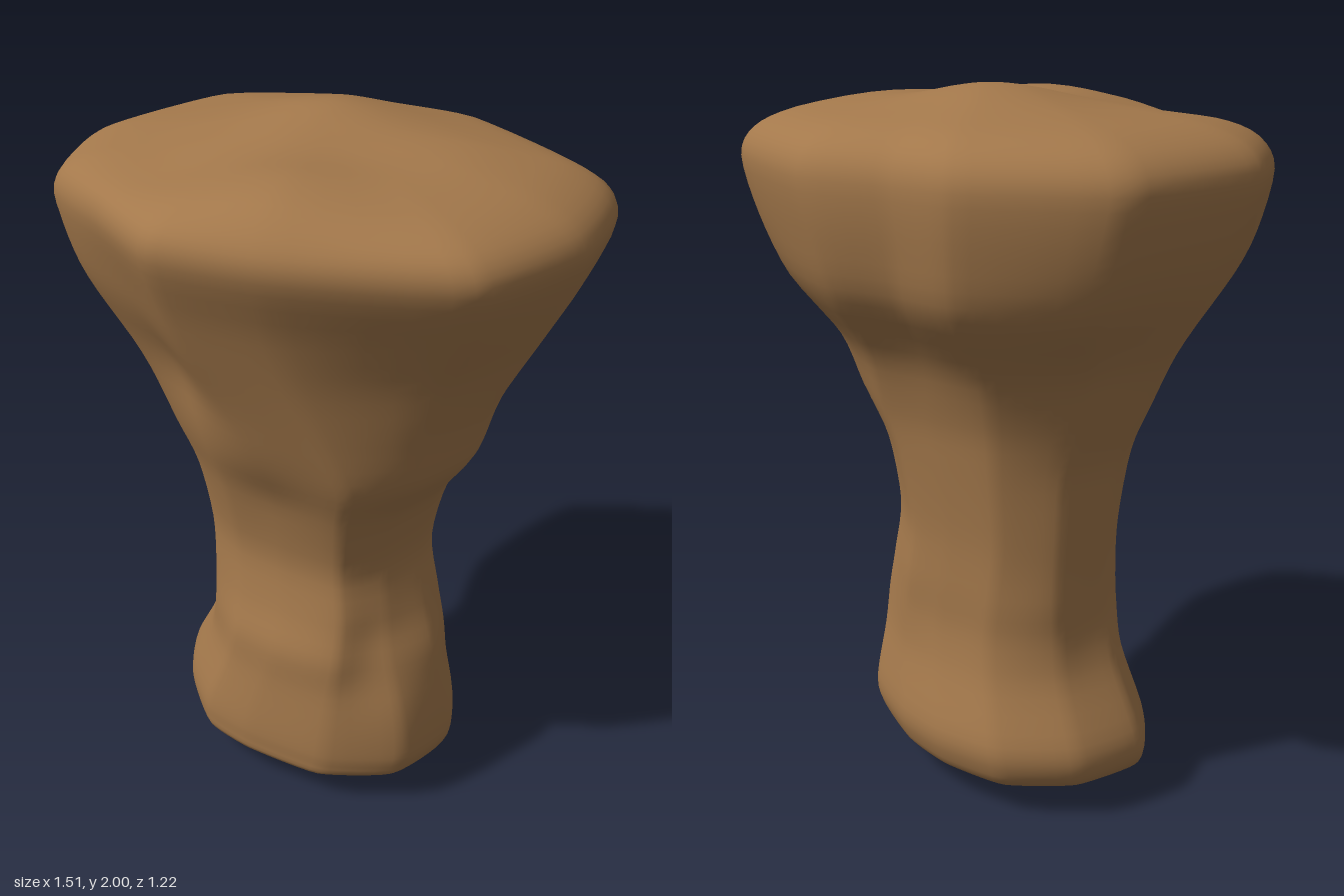
import * as THREE from 'three';
import { mergeVertices } from 'three/addons/utils/BufferGeometryUtils.js';

// Unit outlines, twelve corners from +x round through +z: foot, neck and rim
const foot = [[1, -0.05], [0.9, 0.54], [0.48, 0.93], [-0.08, 1], [-0.46, 0.92], [-0.8, 0.55],
  [-1, 0.1], [-0.86, -0.52], [-0.47, -0.95], [-0.02, -1], [0.36, -0.88], [0.8, -0.54]];
const neck = [[1, 0], [0.9, 0.53], [0.66, 0.95], [0.1, 1], [-0.4, 0.96], [-0.82, 0.7],
  [-1, 0.15], [-0.9, -0.5], [-0.5, -0.92], [0, -1], [0.42, -0.95], [0.94, -0.42]];
const rim = [[1, 0], [0.87, 0.58], [0.29, 0.91], [-0.13, 1], [-0.48, 0.79], [-0.82, 0.58],
  [-1, 0.12], [-0.89, -0.6], [-0.42, -0.95], [-0.13, -0.96], [0.24, -1], [0.88, -0.6]];

// Level rings: height, min x, max x, min z, max z
const rings = [
  [0.0, -0.18, -0.18, -0.04, -0.04],
  [0.04, -0.31, 0.04, -0.17, 0.12],
  [0.085, -0.455, 0.35, -0.31, 0.28],
  [0.14, -0.497, 0.415, -0.348, 0.3],
  [0.22, -0.485, 0.425, -0.355, 0.3],
  [0.38, -0.395, 0.405, -0.305, 0.285],
  [0.5, -0.355, 0.385, -0.285, 0.28],
  [0.62, -0.35, 0.34, -0.285, 0.245],
  [0.78, -0.36, 0.305, -0.285, 0.225],
  [0.98, -0.38, 0.355, -0.305, 0.275],
  [1.12, -0.435, 0.45, -0.33, 0.33],
  [1.28, -0.51, 0.5, -0.4, 0.395],
  [1.46, -0.63, 0.59, -0.55, 0.475],
  [1.62, -0.71, 0.68, -0.59, 0.54],
  [1.78, -0.757, 0.752, -0.605, 0.605],
  [1.86, -0.71, 0.715, -0.57, 0.59],
  [1.91, -0.59, 0.6, -0.48, 0.5],
  [1.94, -0.38, 0.4, -0.31, 0.33],
  [1.95, -0.18, 0.18, -0.17, 0.14],
  [1.95, -0.04, -0.04, -0.03, -0.03],
];

// Soft lumps and dents on the sides: x, y, z, radius, outward push
const lumps = [
  [-0.03, 1.16, 0.35, 0.16, 0.015], [-0.27, 1.36, 0.36, 0.14, -0.03],
  [-0.52, 1.58, 0.35, 0.19, 0.04], [0.45, 1.48, 0.3, 0.2, -0.02],
  [0, 1.0, 0.28, 0.12, -0.01], [0, 1.4, -0.5, 0.2, -0.03],
  [-0.5, 1.35, -0.2, 0.18, -0.02], [0.32, 0.5, 0.2, 0.14, -0.04],
  [-0.28, 0.52, -0.22, 0.14, 0.02],
];

// Hollows and humps of the top: x, z, radius, rise
const humps = [[-0.06, -0.13, 0.22, 0.05], [-0.28, 0.32, 0.2, -0.02], [0.42, -0.05, 0.2, 0.012],
  [0.12, 0.06, 0.16, -0.012], [0.15, 0.4, 0.2, 0.03]];

const bell = (d2, r) => Math.exp(-d2 / (r * r));

function corner([y, x0, x1, z0, z1], k) {
  const a = THREE.MathUtils.smoothstep(y, 0.3, 0.72);
  const b = THREE.MathUtils.smoothstep(y, 0.95, 1.65);
  const mix = (c) => THREE.MathUtils.lerp(THREE.MathUtils.lerp(foot[k][c], neck[k][c], a), rim[k][c], b);
  return new THREE.Vector3(
    (x0 + x1) / 2 + mix(0) * (x1 - x0) / 2, y, (z0 + z1) / 2 + mix(1) * (z1 - z0) / 2);
}

function shapeSurface(p) {
  const r = Math.hypot(p.x, p.z) || 1;
  let push = 0;
  for (const [x, y, z, s, d] of lumps) {
    push += d * bell((p.x - x) ** 2 + (p.y - y) ** 2 + (p.z - z) ** 2, s);
  }
  p.x += p.x / r * push;
  p.z += p.z / r * push;
  const top = THREE.MathUtils.smoothstep(p.y, 1.84, 1.92);
  for (const [x, z, s, d] of humps) p.y += top * d * bell((p.x - x) ** 2 + (p.z - z) ** 2, s);
  return p;
}

// Smooth loft: a curve up each corner, then a closed curve round each level
function rockGeometry(rows = 76, cols = 72) {
  const columns = rim.map((_, k) =>
    new THREE.CatmullRomCurve3(rings.map((ring) => corner(ring, k)), false, 'catmullrom', 0.45));
  const pos = [], index = [];
  for (let i = 0; i <= rows; i++) {
    const loop = new THREE.CatmullRomCurve3(
      columns.map((c) => c.getPoint(i / rows)), true, 'catmullrom', 0.26);
    for (let j = 0; j < cols; j++) {
      pos.push(...shapeSurface(loop.getPoint(j / cols)).toArray());
      if (i === rows) continue;
      const a = i * cols + j, b = i * cols + (j + 1) % cols;
      if (i < rows - 1) index.push(a + cols, b + cols, b);
      if (i > 0) index.push(a, a + cols, b);
    }
  }
  let geo = new THREE.BufferGeometry();
  geo.setAttribute('position', new THREE.Float32BufferAttribute(pos, 3));
  geo.setIndex(index);
  geo = mergeVertices(geo, 1e-5);
  geo.computeVertexNormals();
  return geo;
}

export function createModel() {
  const group = new THREE.Group();
  group.name = 'rockPillar';
  const stone = new THREE.MeshStandardMaterial({ color: 0xa3784b });
  stone.name = 'brownStone';
  const rock = new THREE.Mesh(rockGeometry(), stone);
  rock.name = 'rock';
  group.add(rock);
  return group;
}
